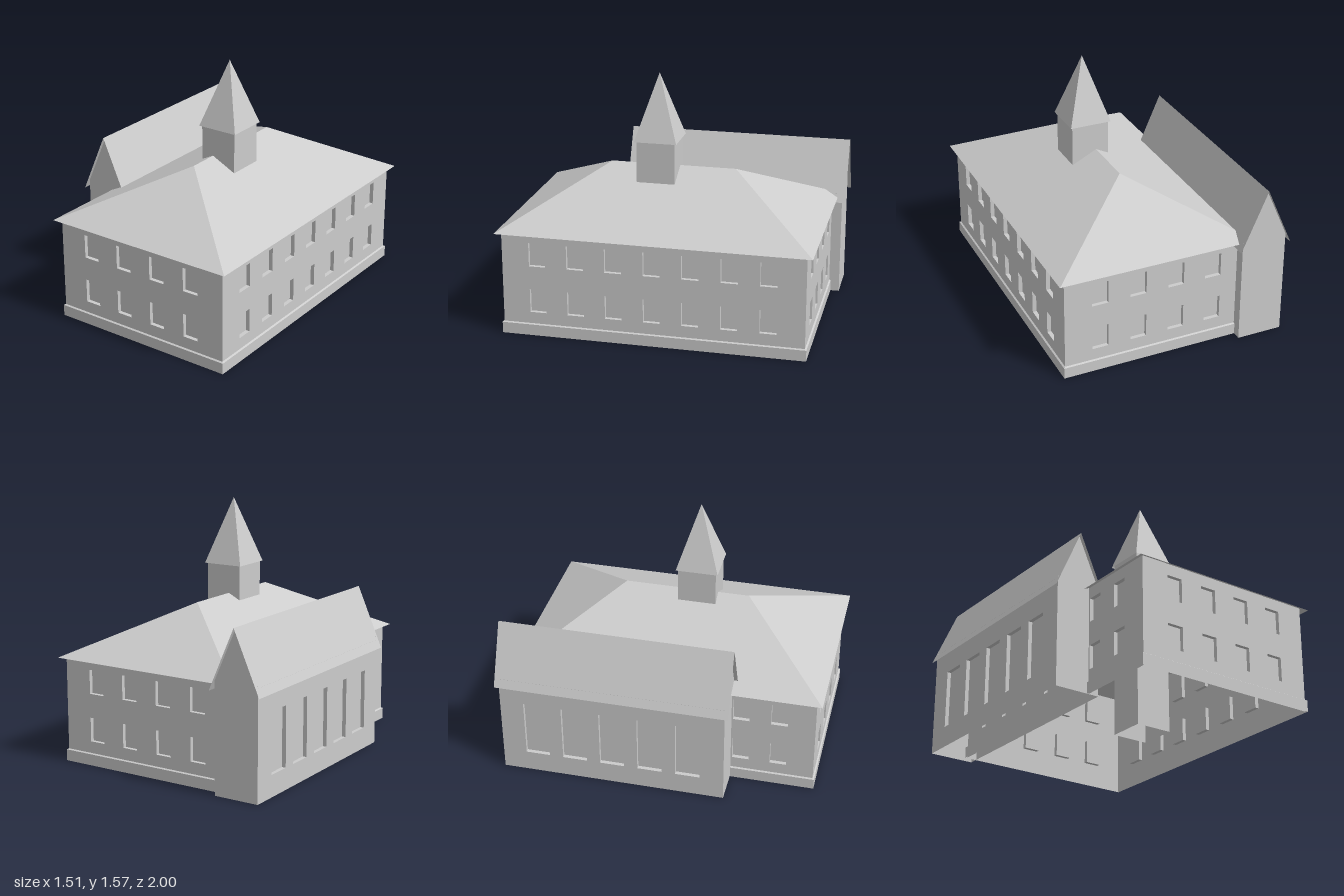
import * as THREE from 'three';
import { mergeGeometries } from 'three/addons/utils/BufferGeometryUtils.js';

const stone = new THREE.MeshStandardMaterial({ color: 0xcccccc, side: THREE.DoubleSide, flatShading: true });
stone.name = 'paleGrey';
const TURN = 0.015; // the whole plan sits slightly askew
const RECESS = 0.025;

function add(parent, name, geometry, x = 0, z = 0, turn = 0) {
  const mesh = new THREE.Mesh(geometry, stone);
  mesh.name = name;
  mesh.position.set(x, 0, z);
  mesh.rotation.y = turn;
  parent.add(mesh);
  return mesh;
}

function block(parent, name, x, z) {
  const g = new THREE.Group();
  g.name = name;
  g.position.set(x, 0, z);
  g.rotation.y = TURN;
  parent.add(g);
  return g;
}

// Open skin through rectangular rings [halfX, halfZ, y], listed bottom to top
function loft(rings) {
  const corners = [[-1, 1], [1, 1], [1, -1], [-1, -1]];
  const pos = [];
  for (let r = 0; r < rings.length - 1; r++) {
    for (let i = 0; i < 4; i++) {
      const at = (ring, c) => [ring[0] * c[0], ring[2], ring[1] * c[1]];
      const c0 = corners[i], c1 = corners[(i + 1) % 4];
      const a = at(rings[r], c0), b = at(rings[r], c1);
      const c = at(rings[r + 1], c1), d = at(rings[r + 1], c0);
      pos.push(...a, ...b, ...c, ...a, ...c, ...d);
    }
  }
  const g = new THREE.BufferGeometry();
  g.setAttribute('position', new THREE.Float32BufferAttribute(pos, 3));
  g.computeVertexNormals();
  return g;
}

// Flat wall facing +z, with recessed windows [centreX, bottomY, width, height]
function wall(outline, windows = []) {
  const shape = new THREE.Shape(outline.map(p => new THREE.Vector2(...p)));
  const parts = [];
  for (const [x, y, w, h] of windows) {
    const l = x - w / 2, r = x + w / 2;
    shape.holes.push(new THREE.Path([[l, y], [l, y + h], [r, y + h], [r, y]].map(p => new THREE.Vector2(...p))));
    // reveals and pane: a shallow box without its outer face
    const box = new THREE.BoxGeometry(w, h, RECESS);
    const index = Array.from(box.index.array);
    index.splice(24, 6);
    // turn the faces inward
    for (let i = 0; i < index.length; i += 3) [index[i], index[i + 1]] = [index[i + 1], index[i]];
    box.setIndex(index);
    box.clearGroups();
    box.translate(x, y + h / 2, -RECESS / 2);
    box.computeVertexNormals();
    parts.push(box);
  }
  return mergeGeometries([new THREE.ShapeGeometry(shape), ...parts]);
}

const rect = (half, top) => [[-half, 0], [half, 0], [half, top], [-half, top]];

function windowRow(count, spacing, bottom, w, h) {
  return Array.from({ length: count }, (_, i) => [(i - (count - 1) / 2) * spacing, bottom, w, h]);
}

export function createModel() {
  const model = new THREE.Group();
  model.name = 'townHall';

  // Main hall: four walls with two storeys of windows
  const hall = block(model, 'mainHall', 0.102, 0.015);
  const HX = 0.597, HZ = 0.935;
  const storeys = (n, s) => [0.15, 0.45].flatMap(y => windowRow(n, s, y, 0.104, 0.15));
  const endWall = wall(rect(HX, 0.672), storeys(4, 0.246));
  const sideWall = wall(rect(HZ, 0.672), storeys(7, 0.2375));
  add(hall, 'frontWall', endWall, 0, HZ, 0);
  add(hall, 'backWall', endWall, 0, -HZ, Math.PI);
  add(hall, 'leftWall', sideWall, HX, 0, Math.PI / 2);
  add(hall, 'rightWall', sideWall, -HX, 0, -Math.PI / 2);

  // Plinth with a small sloping top, and hipped roof
  add(hall, 'plinth', loft([[HX + 0.01, HZ + 0.01, 0], [HX + 0.01, HZ + 0.01, 0.07], [HX, HZ, 0.076]]));
  add(hall, 'hippedRoof', loft([[0.635, 0.972, 0.655], [0, 0.395, 0.97]]));

  // Tower running down through the hall, with a pyramid spire
  const tower = block(model, 'tower', 0.142, 0.092);
  add(tower, 'towerShaft', loft([[0.12, 0.12, 0], [0.12, 0.12, 1.175]]));
  add(tower, 'spire', loft([[0.133, 0.133, 1.15], [0, 0, 1.565]]));

  // Side wing: gabled ends and tall windows along both sides
  const wing = block(model, 'sideWing', -0.577, -0.268);
  const WX = 0.145, WZ = 0.707;
  const gable = wall([[-WX, 0], [WX, 0], [WX, 0.678], [0, 1.003], [-WX, 0.678]]);
  const longWall = wall(rect(WZ, 0.678), windowRow(5, 0.24, 0.135, 0.155, 0.375));
  add(wing, 'frontGable', gable, 0, WZ, 0);
  add(wing, 'backGable', gable, 0, -WZ, Math.PI);
  add(wing, 'wingLeftWall', longWall, WX, 0, Math.PI / 2);
  add(wing, 'wingRightWall', longWall, -WX, 0, -Math.PI / 2);

  // Two roof slopes meeting at the ridge
  const rise = 0.382, run = 0.168;
  for (const side of [-1, 1]) {
    const slope = new THREE.PlaneGeometry(1.46, Math.hypot(rise, run));
    slope.rotateX(-Math.atan2(run, rise));
    slope.translate(0, 0.625 + rise / 2, run / 2);
    add(wing, side > 0 ? 'leftRoofSlope' : 'rightRoofSlope', slope, 0, 0, side * Math.PI / 2);
  }

  return model;
}
